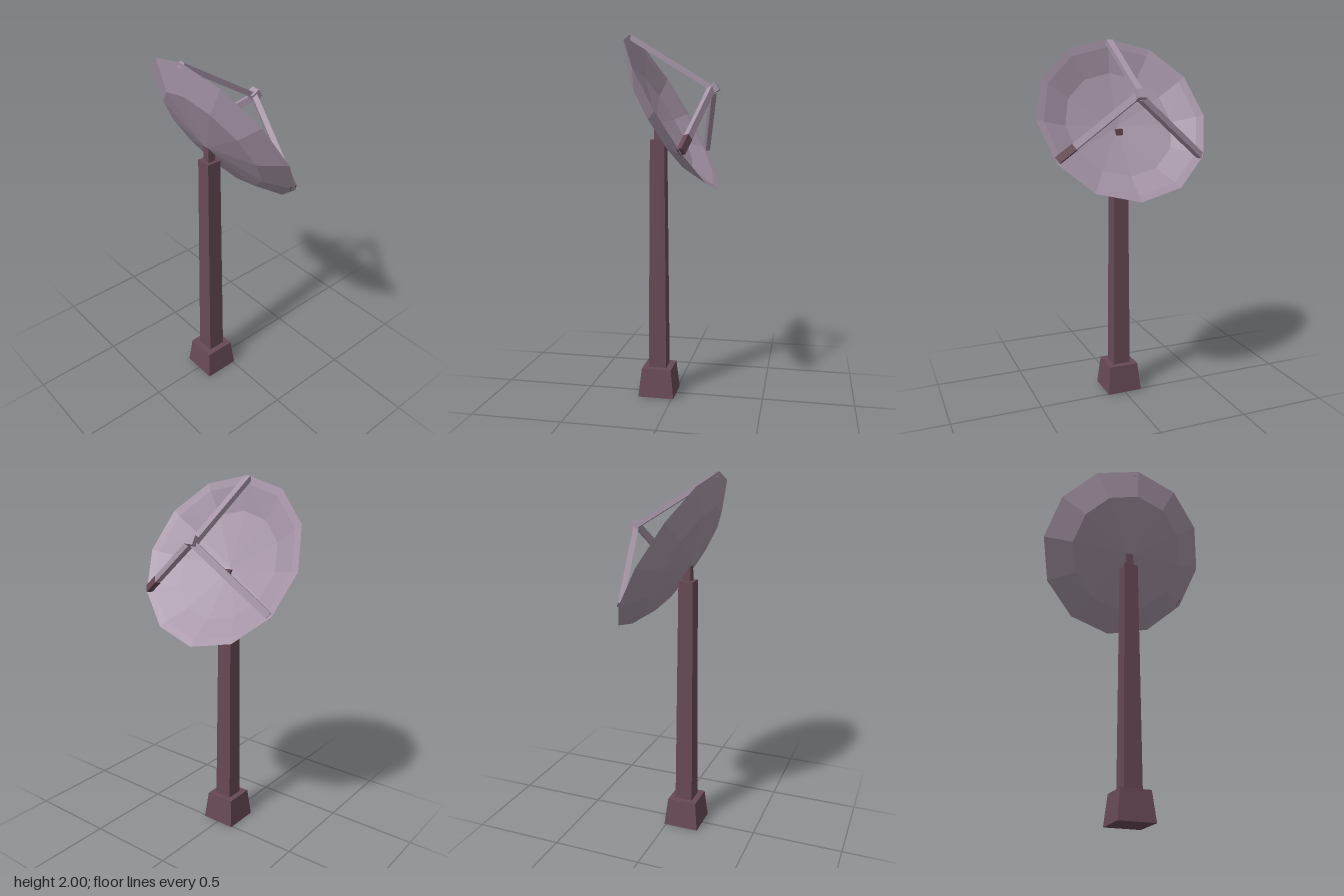
import * as THREE from 'three';

const material = (name, color) => {
  const m = new THREE.MeshStandardMaterial({ color, flatShading: true });
  m.name = name;
  return m;
};

export function createModel() {
  const mauve = material('pale mauve', 0xa594a6);
  const maroon = material('dark maroon', 0x674955);
  const model = new THREE.Group();
  model.name = 'satelliteDish';

  const add = (parent, name, geometry, mat, x = 0, y = 0, z = 0) => {
    const mesh = new THREE.Mesh(geometry, mat);
    mesh.name = name;
    mesh.position.set(x, y, z);
    parent.add(mesh);
    return mesh;
  };

  // Square tapered block, given half widths
  const taper = (top, bottom, height) =>
    new THREE.CylinderGeometry(top * Math.SQRT2, bottom * Math.SQRT2, height, 4).rotateY(Math.PI / 4);

  // Mast
  add(model, 'base', taper(0.083, 0.1, 0.16), maroon, -0.09, 0.08, 0);
  add(model, 'post', taper(0.04, 0.05, 1.28), maroon, -0.09, 0.8, 0);
  add(model, 'neck', taper(0.02, 0.022, 0.09), maroon, -0.09, 1.475, 0);

  // Reflector assembly: local +y is the pointing axis, local -x the top of the rim
  const head = new THREE.Group();
  head.name = 'dishHead';
  head.position.set(-0.005, 1.585, 0);
  head.rotation.z = -Math.atan2(0.861, 0.508);
  model.add(head);

  // Shallow twelve-sided bowl, back then inside
  const profile = [
    [0, -0.125], [0.33, -0.077], [0.482, 0],
    [0.44, -0.012], [0.31, -0.069], [0, -0.113],
  ].map(([r, y]) => new THREE.Vector2(r, y));
  add(head, 'reflector', new THREE.LatheGeometry(profile, 12), mauve);

  // Receiver
  add(head, 'receiver', new THREE.BoxGeometry(0.05, 0.05, 0.05), mauve, 0, 0.25, 0);

  // Three struts from the rim to the receiver
  const foot = new THREE.Vector2(-0.465, 0.0);
  const tip = new THREE.Vector2(-0.01, 0.24);
  const length = foot.distanceTo(tip);
  const slope = Math.atan2(tip.y - foot.y, tip.x - foot.x);
  for (let i = 0; i < 3; i++) {
    const arm = new THREE.Group();
    arm.name = 'arm' + (i + 1);
    arm.rotation.y = (i * Math.PI * 2) / 3;
    head.add(arm);

    const rod = new THREE.Group();
    rod.name = 'rod';
    rod.position.set(foot.x, foot.y, -0.008);
    rod.rotation.z = slope;
    arm.add(rod);
    add(rod, 'strut', new THREE.BoxGeometry(length, 0.028, 0.036), mauve, length / 2, 0, 0);
    // Dark sleeve on the foot of the left-hand strut
    if (i === 1) {
      add(rod, 'strutSleeve', new THREE.BoxGeometry(0.11, 0.031, 0.039), maroon, 0.054, 0, 0);
    }
  }
  return model;
}
